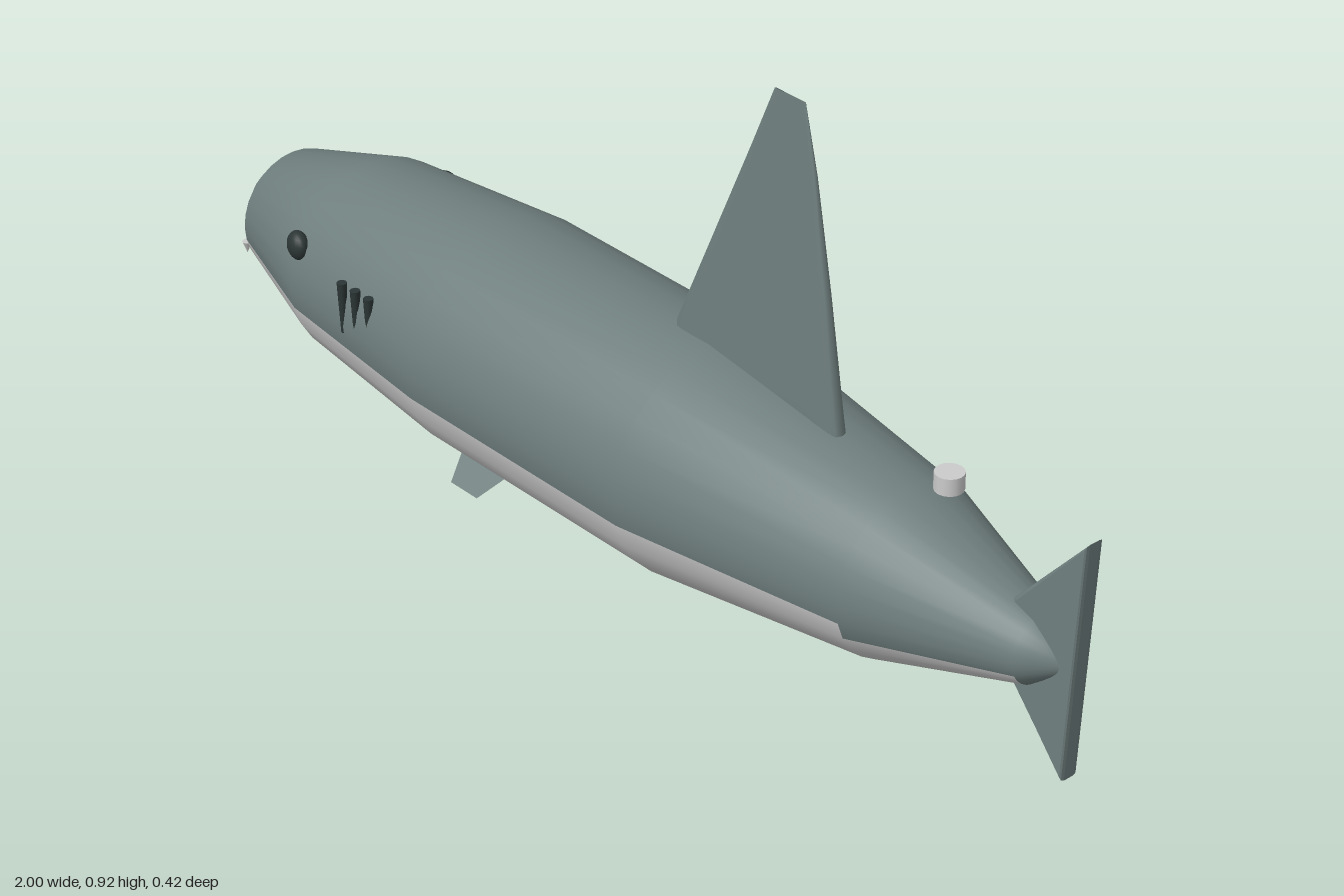
import * as THREE from 'three';

const mat = (color, extra = {}) => new THREE.MeshStandardMaterial({ color, ...extra });
const skin = mat(0x6f7f7e);
const pale = mat(0xcccccc);
const dark = mat(0x2c3535);
const CY = 0.21; // height of the body axis

function add(group, name, geometry, material, x = 0, y = 0, z = 0) {
  const mesh = new THREE.Mesh(geometry, material);
  mesh.name = name;
  mesh.position.set(x, y, z);
  group.add(mesh);
  return mesh;
}

// Body of revolution along x, its faces sorted into dark back and pale belly
function addBody(group) {
  const profile = [[0, -1], [0.012, -1], [0.11, -0.9], [0.178, -0.68], [0.21, -0.33],
    [0.21, 0.18], [0.15, 0.62], [0.06, 0.9], [0.018, 0.955], [0, 0.955]];
  const body = new THREE.LatheGeometry(profile.map(([r, x]) => new THREE.Vector2(r, x)), 28);
  body.rotateZ(-Math.PI / 2).translate(0, CY, 0);
  const pos = body.attributes.position;
  const index = body.index.array;
  const back = [], belly = [];
  for (let i = 0; i < index.length; i += 6) {
    const quad = Array.from(index.slice(i, i + 6));
    const midY = quad.reduce((sum, v) => sum + pos.getY(v), 0) / quad.length;
    (midY < 0.165 ? belly : back).push(...quad);
  }
  for (const [name, faces, material] of [['back', back, skin], ['belly', belly, pale]]) {
    const part = body.clone();
    part.setIndex(faces);
    add(group, name, part, material);
  }
}

// Swept fin: rounded sections [y, front x, rear x, half thickness] stacked upwards
function dorsalFinGeometry() {
  const sections = [[0.36, 0.1, 0.475, 0.018], [0.43, 0.1, 0.463, 0.017],
    [0.61, 0.178, 0.435, 0.012], [0.8, 0.26, 0.402, 0.006], [0.915, 0.308, 0.375, 0.002]];
  const n = 20, verts = [], faces = [];
  for (const [y, x0, x1, t] of sections) {
    for (let i = 0; i < n; i++) {
      const a = (i / n) * Math.PI * 2, c = Math.cos(a), s = Math.sin(a);
      const round = (v, p) => Math.sign(v) * Math.abs(v) ** p;
      const waist = 0.72 + 0.28 * c * c; // slightly pinched in the middle
      verts.push((x0 + x1) / 2 + round(c, 0.5) * (x1 - x0) / 2, y, round(s, 0.4) * t * waist);
    }
  }
  for (let k = 0; k < sections.length - 1; k++) {
    for (let i = 0; i < n; i++) {
      const j = (i + 1) % n, a = k * n + i, b = k * n + j;
      faces.push(a, a + n, b, b, a + n, b + n);
    }
  }
  const top = (sections.length - 1) * n;
  for (let i = 1; i < n - 1; i++) faces.push(top, top + i + 1, top + i);
  const geometry = new THREE.BufferGeometry();
  geometry.setAttribute('position', new THREE.Float32BufferAttribute(verts, 3));
  geometry.setIndex(faces);
  geometry.computeVertexNormals();
  return geometry;
}

// Upright tail fin with bevelled edges
function tailFinGeometry() {
  const outline = [[0.855, 0.155], [0.968, 0.02], [0.992, 0.436], [0.855, 0.275]];
  const shape = new THREE.Shape(outline.map(([x, y]) => new THREE.Vector2(x, y)));
  const geometry = new THREE.ExtrudeGeometry(shape, {
    depth: 0.02, bevelEnabled: true, bevelThickness: 0.008, bevelSize: 0.006, bevelSegments: 2,
  });
  return geometry.translate(0, 0, -0.01);
}

// Flat side fin sloping down and outwards
function sideFinGeometry(side) {
  const geometry = new THREE.BufferGeometry();
  geometry.setAttribute('position', new THREE.Float32BufferAttribute([
    -0.285, 0.085, side * 0.12, -0.145, 0.085, side * 0.12,
    -0.182, 0.034, side * 0.19, -0.248, 0.034, side * 0.19], 3));
  geometry.setIndex(side > 0 ? [0, 2, 1, 0, 3, 2] : [0, 1, 2, 0, 2, 3]);
  geometry.computeVertexNormals();
  return geometry;
}

export function createModel() {
  const model = new THREE.Group();
  model.name = 'fish';
  addBody(model);
  add(model, 'dorsalFin', dorsalFinGeometry(), skin);
  add(model, 'tailFin', tailFinGeometry(), skin);

  const finSkin = mat(0x6f7f7e, { side: THREE.DoubleSide });
  for (const side of [1, -1]) {
    const label = side > 0 ? 'left' : 'right';
    add(model, label + 'SideFin', sideFinGeometry(side), finSkin);

    // Eye set into the head
    const eye = add(model, label + 'Eye', new THREE.SphereGeometry(0.026, 16, 12), dark, -0.68, 0.287, side * 0.16);
    eye.scale.z = 0.7;
    eye.rotation.y = -side * 0.25;

    // Three tapered gill slits
    for (let i = 0; i < 3; i++) {
      add(model, label + 'Gill', new THREE.CylinderGeometry(0.009, 0.004, 0.095, 8), dark,
        -0.525 + i * 0.035, 0.245, side * 0.189);
    }
  }

  // Small tooth below the snout
  const tooth = add(model, 'tooth', new THREE.ConeGeometry(0.009, 0.022, 8), pale, -0.93, 0.15, 0.085);
  tooth.rotation.x = Math.PI;

  // Short disc floating above the tail
  add(model, 'floatingDisc', new THREE.CylinderGeometry(0.024, 0.024, 0.03, 16), mat(0xdddddd), 0.7, 0.41, 0);
  return model;
}
